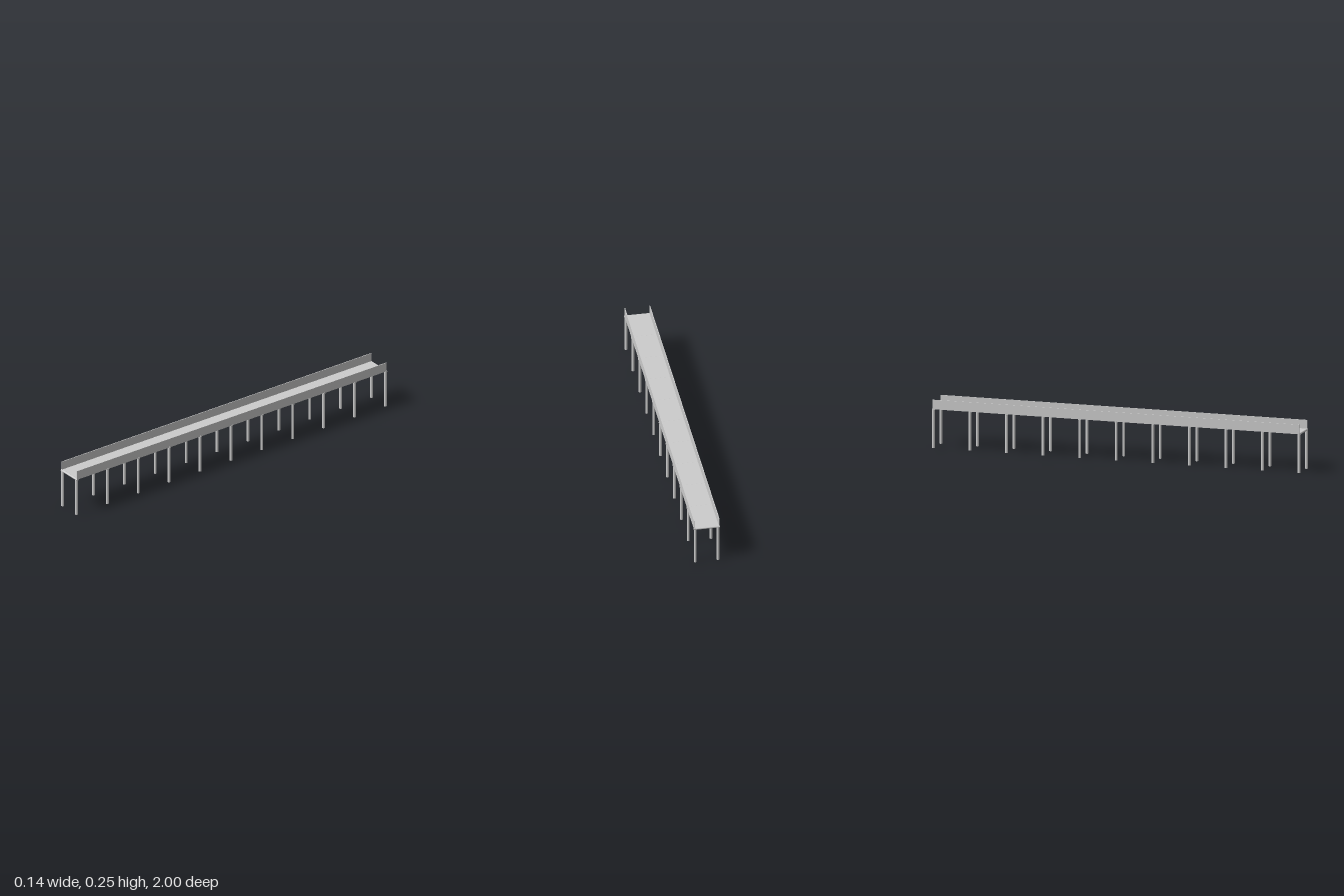
import * as THREE from 'three';

const SPANS = 10;
const END_Z = 0.9927;

export function createModel() {
  const model = new THREE.Group();
  model.name = 'elevatedWalkway';
  const metal = new THREE.MeshStandardMaterial({ color: 0xcccccc });
  metal.name = 'light grey metal';

  const add = (parent, name, geometry, x, y, z) => {
    const mesh = new THREE.Mesh(geometry, metal);
    mesh.name = name;
    mesh.position.set(x, y, z);
    parent.add(mesh);
  };

  // Long floor with a thin upright panel along each edge
  add(model, 'deck', new THREE.BoxGeometry(0.13, 0.004, 1.99), 0, 0.2066, 0);
  const panel = new THREE.BoxGeometry(0.0035, 0.05, 1.99);
  add(model, 'leftSidePanel', panel, 0.065, 0.229, 0);
  add(model, 'rightSidePanel', panel, -0.065, 0.229, 0);

  // Evenly spaced trestles: two round legs under a round crossbar
  const leg = new THREE.CylinderGeometry(0.0073, 0.0073, 0.2, 20);
  const bar = new THREE.CylinderGeometry(0.0056, 0.0056, 0.137, 20).rotateZ(Math.PI / 2);
  for (let i = 0; i <= SPANS; i++) {
    const trestle = new THREE.Group();
    trestle.name = `trestle${i + 1}`;
    trestle.position.z = END_Z * (1 - (2 * i) / SPANS);
    add(trestle, 'leftLeg', leg, 0.0593, 0.1, 0);
    add(trestle, 'rightLeg', leg, -0.0593, 0.1, 0);
    add(trestle, 'crossbar', bar, 0, 0.2035, 0);
    model.add(trestle);
  }
  return model;
}
